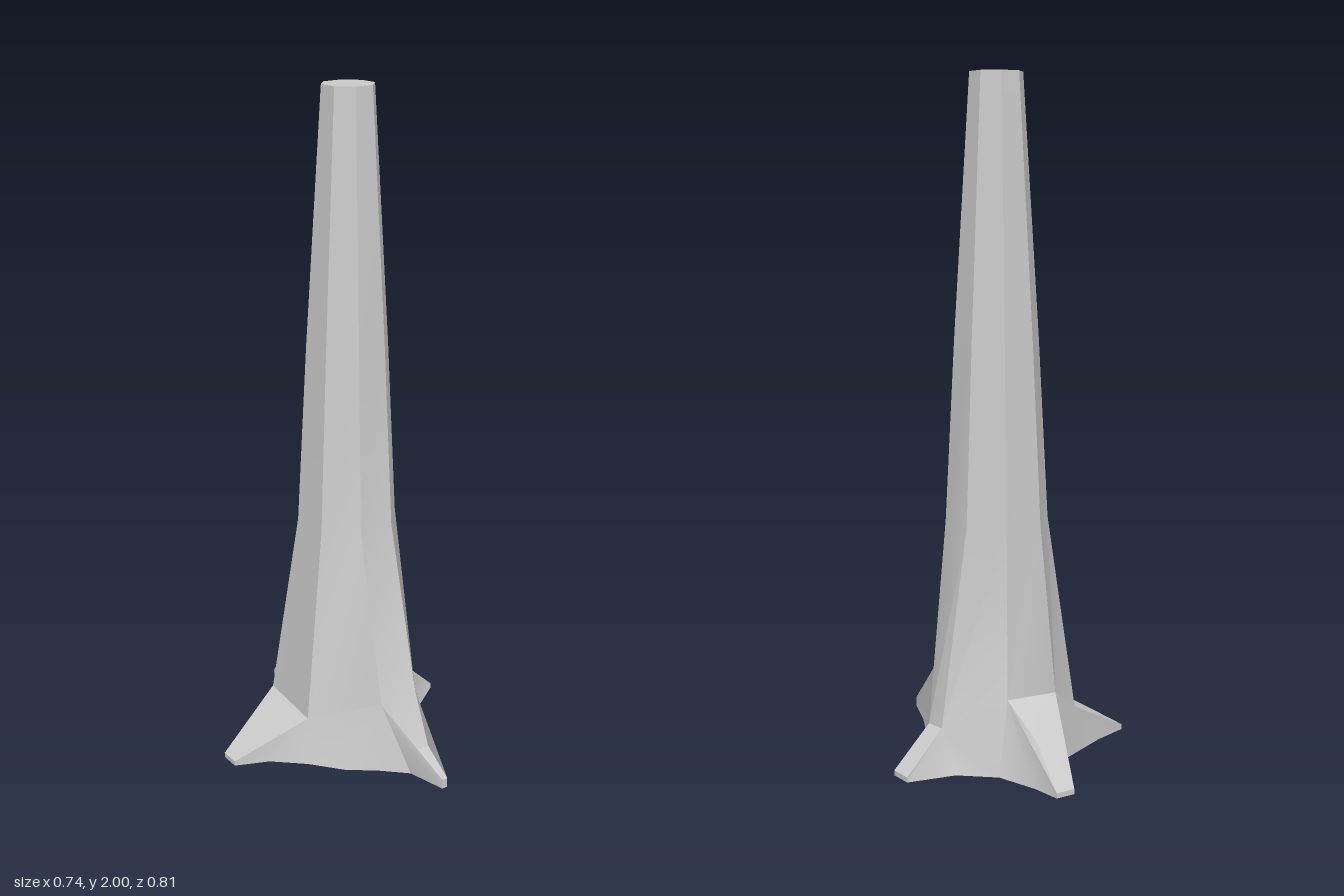
import * as THREE from 'three';
import { toCreasedNormals } from 'three/addons/utils/BufferGeometryUtils.js';

// Octagonal trunk axis and its rings: [height, radius]
const AXIS = [0.045, -0.04];
const RINGS = [[2, 0.077], [1.25, 0.124], [0.72, 0.152]];

// Four roots, each with a pair of ridge lines running from trunk to tip,
// then the ground points of the hollow before the next root.
// split: the hollow point where the two root flanks meet.
const ROOTS = [
  { // back, +x side
    a: [[0.23, 0.13, -0.155], [0.34, 0.015, -0.22]],
    b: [[0.26, 0.13, -0.105], [0.37, 0.015, -0.16]],
    hollow: [[0.275, -0.03], [0.245, 0.065], [0.232, 0.18], [0.227, 0.27]], split: 1,
  },
  { // front, +x side
    a: [[0.2, 0.21, 0.18], [0.215, 0.065, 0.27], [0.232, 0.03, 0.4]],
    b: [[0.075, 0.21, 0.24], [0.16, 0.07, 0.295], [0.215, 0.03, 0.405]],
    hollow: [[0.15, 0.305], [0.06, 0.265], [-0.035, 0.235], [-0.135, 0.175], [-0.245, 0.13]], split: 2,
  },
  { // -x side
    a: [[-0.128, 0.14, 0.145], [-0.352, 0.015, 0.125]],
    b: [[-0.185, 0.14, -0.075], [-0.372, 0.015, 0.07]],
    hollow: [[-0.28, 0], [-0.112, -0.165]], split: 1,
  },
  { // back
    a: [[-0.105, 0.22, -0.165], [-0.065, 0.13, -0.29], [-0.11, 0.015, -0.39]],
    b: [[0.045, 0.22, -0.205], [-0.02, 0.13, -0.31], [-0.055, 0.015, -0.41]],
    hollow: [[-0.01, -0.335], [0.075, -0.235], [0.195, -0.195]], split: 1,
  },
];

const grounded = (p) => [p[0], 0, p[2]];

// Ridge line with its tip dropped to the ground
const ridge = (line) => [...line, grounded(line[line.length - 1])];

function makeGeometry(triangles) {
  const g = new THREE.BufferGeometry();
  g.setAttribute('position', new THREE.Float32BufferAttribute(triangles.flat(2), 3));
  return toCreasedNormals(g, 0.6);
}

export function createModel() {
  const group = new THREE.Group();
  group.name = 'treeTrunk';
  const material = new THREE.MeshStandardMaterial({ color: 0xcccccc });
  const tris = [];
  const quad = (p, q, r, s) => tris.push([p, q, r], [p, r, s]);

  // Trunk: tapered octagon rings, the lowest one formed by the root shoulders
  const rings = RINGS.map(([y, r]) => Array.from({ length: 8 }, (_, i) => {
    const t = (i - 1) * Math.PI / 4;
    return [AXIS[0] + r * Math.cos(t), y, AXIS[1] + r * Math.sin(t)];
  }));
  rings.push(ROOTS.flatMap((root) => [root.a[0], root.b[0]]));
  for (let k = 0; k < rings.length - 1; k++) {
    for (let i = 0; i < 8; i++) {
      const j = (i + 1) % 8;
      quad(rings[k][i], rings[k][j], rings[k + 1][j], rings[k + 1][i]);
    }
  }

  // Cut top
  const centre = [AXIS[0], RINGS[0][0], AXIS[1]];
  for (let i = 0; i < 8; i++) tris.push([centre, rings[0][(i + 1) % 8], rings[0][i]]);

  // Roots and the hollows between them
  const outline = [];
  ROOTS.forEach((root, n) => {
    const a = ridge(root.a), b = ridge(root.b);
    for (let i = 0; i < a.length - 1; i++) quad(a[i], b[i], b[i + 1], a[i + 1]);

    const next = ridge(ROOTS[(n + 1) % ROOTS.length].a);
    const hollow = root.hollow.map(([x, z]) => [x, 0, z]);
    const fan = (apex, line) => {
      for (let i = 0; i < line.length - 1; i++) tris.push([apex, line[i + 1], line[i]]);
    };
    fan(b[0], [...b.slice(1), ...hollow.slice(0, root.split + 1)]);
    tris.push([b[0], next[0], hollow[root.split]]);
    fan(next[0], [...hollow.slice(root.split), ...next.slice(1).reverse()]);

    outline.push(a[a.length - 1], b[b.length - 1], ...hollow);
  });
  const trunk = new THREE.Mesh(makeGeometry(tris), material);
  trunk.name = 'trunkWithRoots';
  group.add(trunk);

  // Flat underside
  const shape = new THREE.Shape(outline.map(([x, , z]) => new THREE.Vector2(x, z)));
  const base = new THREE.Mesh(new THREE.ShapeGeometry(shape).rotateX(Math.PI / 2), material);
  base.name = 'underside';
  group.add(base);

  return group;
}
